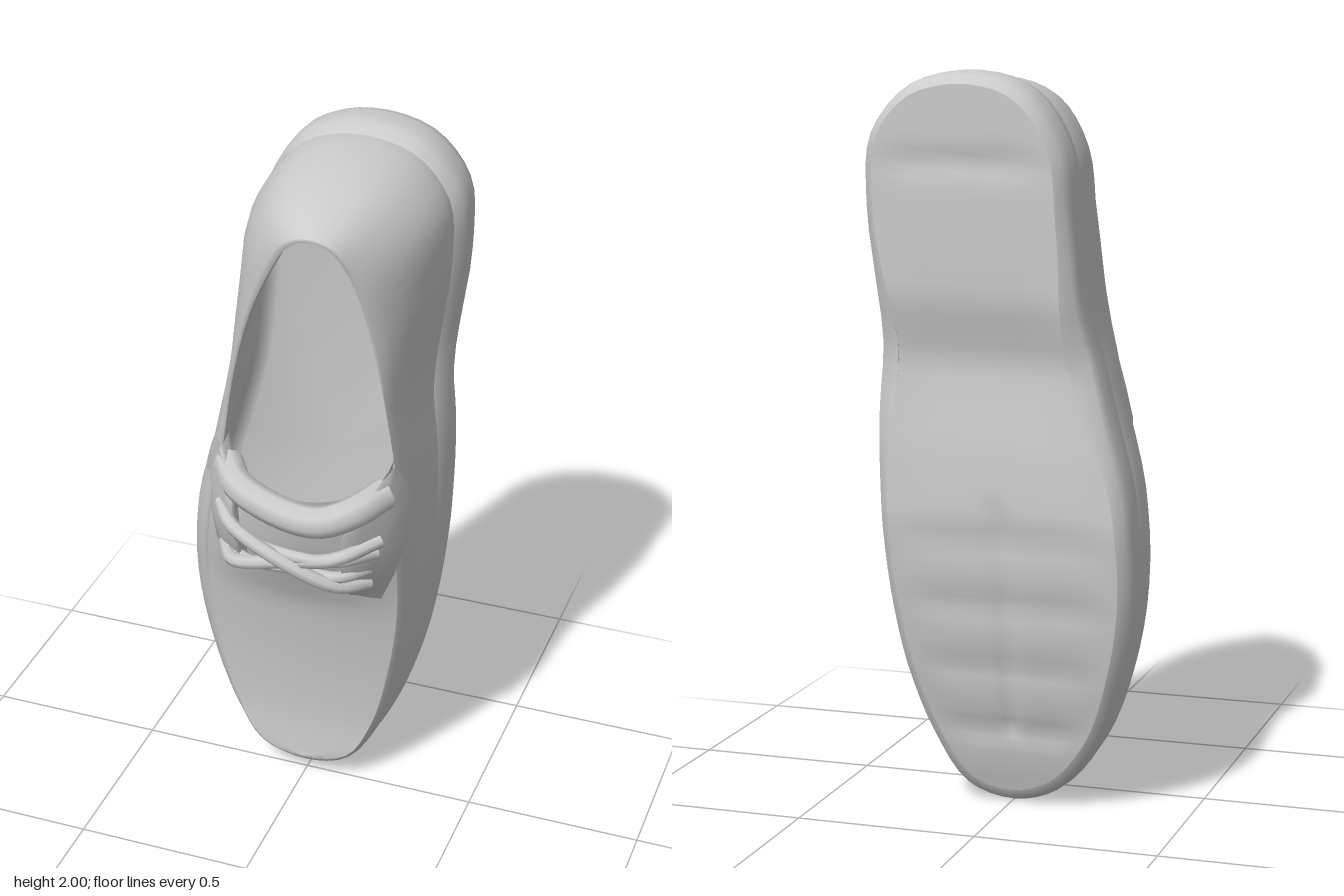
import * as THREE from 'three';

const V = (x, y, z) => new THREE.Vector3(x, y, z);
const grey = new THREE.MeshStandardMaterial({ color: 0xcccccc, side: THREE.DoubleSide });
const N = 88; // samples around the shoe

// Skin rows of points; wrap closes each row, cap fills the last row
function loft(name, rows, wrap = false, cap = false) {
  const n = rows[0].length, pos = rows.flat().flatMap(p => [p.x, p.y, p.z]), idx = [];
  for (let i = 0; i < rows.length - 1; i++)
    for (let j = 0; j < (wrap ? n : n - 1); j++) {
      const a = i * n + j, b = i * n + (j + 1) % n;
      idx.push(a, b, a + n, b, b + n, a + n);
    }
  if (cap) {
    const last = rows[rows.length - 1], c = V(0, 0, 0);
    last.forEach(p => c.addScaledVector(p, 1 / n));
    pos.push(c.x, c.y, c.z);
    const s = (rows.length - 1) * n;
    for (let j = 0; j < n; j++) idx.push(s + j, s + (j + 1) % n, rows.length * n);
  }
  const g = new THREE.BufferGeometry();
  g.setAttribute('position', new THREE.Float32BufferAttribute(pos, 3));
  g.setIndex(idx);
  g.computeVertexNormals();
  const m = new THREE.Mesh(g, grey);
  m.name = name;
  return m;
}

// Piecewise linear lookup
function lookup(table, t) {
  if (t <= table[0][0]) return table[0][1];
  for (let i = 1; i < table.length; i++) {
    const [a, va] = table[i - 1], [b, vb] = table[i];
    if (t <= b) return va + (vb - va) * (t - a) / (b - a);
  }
  return table[table.length - 1][1];
}

// Widest outline of the sole: toe, up the +x side, heel, down the -x side
const outline = new THREE.CatmullRomCurve3([
  [0, 0.005], [0.13, 0.045], [0.22, 0.19], [0.285, 0.39], [0.32, 0.6], [0.34, 0.85], [0.348, 1.1],
  [0.338, 1.35], [0.372, 1.65], [0.358, 1.84], [0.25, 1.965], [0.07, 2], [-0.08, 1.95], [-0.18, 1.8],
  [-0.205, 1.6], [-0.232, 1.36], [-0.29, 1.12], [-0.355, 0.88], [-0.37, 0.62], [-0.328, 0.38],
  [-0.25, 0.18], [-0.13, 0.045],
].map(p => V(p[0], p[1], 0)), true);

// Upper edge of the side wall: toe panel seam in front, foot opening behind
const rim = new THREE.CatmullRomCurve3([
  [0, 0.07, 0.035], [0.13, 0.1, 0.03], [0.2, 0.22, 0.02], [0.25, 0.42, 0.03], [0.285, 0.65, 0.06],
  [0.295, 0.88, 0.11], [0.305, 1.14, 0.15], [0.285, 1.35, 0.18], [0.25, 1.6, 0.22], [0.21, 1.77, 0.26],
  [0.165, 1.855, 0.29], [0.11, 1.875, 0.3], [0.055, 1.85, 0.29], [-0.005, 1.76, 0.26], [-0.08, 1.6, 0.22],
  [-0.145, 1.38, 0.18], [-0.19, 1.14, 0.15], [-0.25, 0.88, 0.11], [-0.275, 0.65, 0.06], [-0.255, 0.42, 0.03],
  [-0.205, 0.22, 0.02], [-0.13, 0.1, 0.03],
].map(p => V(...p)), true);

const soleZ = [[0, -0.19], [0.1, -0.215], [0.4, -0.28], [0.6, -0.31], [0.8, -0.33], [1, -0.32], [1.25, -0.296], [1.4, -0.33], [2, -0.33]];
const soleHeight = [[0, 0.08], [0.4, 0.14], [0.9, 0.17], [2, 0.18]];
const weltInset = [[0, 0.006], [0.7, 0.01], [1.3, 0.022]];
const waist = y => Math.exp(-(((y - 1.22) / 0.2) ** 2));
const ring = fn => Array.from({ length: N }, (_, i) => fn(i / N));

// Outline pulled inward by d and placed at height fraction h of the sole
function solePoint(u, d, h) {
  const p = outline.getPoint(u), t = outline.getTangent(u);
  const z = lookup(soleZ, p.y) + h * lookup(soleHeight, p.y);
  return V(p.x - t.y * d, p.y + t.x * d, z);
}
const bottomEdge = u => solePoint(u, 0.035 + 0.03 * waist(outline.getPoint(u).y), 0);
const welt = u => solePoint(u, lookup(weltInset, outline.getPoint(u).y), 1);

function sole() {
  const g = new THREE.Group();
  g.name = 'sole';
  g.add(loft('soleWall', [
    ring(bottomEdge),
    ring(u => solePoint(u, 0.012, 0.12)),
    ring(u => solePoint(u, 0.002, 0.32)),
    ring(u => solePoint(u, 0, 0.6)),
    ring(u => solePoint(u, 0.003, 0.82)),
    ring(welt),
  ], true));
  // Tread with shallow pressed grooves
  const near = (a, b, w) => Math.max(0, 1 - Math.abs(a - b) / w);
  const rows = [];
  for (let i = 0; i <= 72; i++) {
    const u = i / 144, a = bottomEdge(u), b = bottomEdge(1 - u), row = [];
    for (let j = 0; j <= 24; j++) {
      const v = j / 24, p = a.clone().lerp(b, v), inside = Math.min(1, 6 * v * (1 - v));
      let d = 0.008 * waist(p.y);
      for (const y of [0.22, 0.4, 0.58, 0.76, 1.76]) d += 0.01 * near(p.y, y, 0.05);
      if (p.y > 0.2 && p.y < 0.85) d += 0.01 * near(v, 0.5, 0.08);
      p.z += d * inside;
      row.push(p);
    }
    rows.push(row);
  }
  g.add(loft('tread', rows));
  return g;
}

// Side wall bulging from the welt to the rim; f moves inward, h moves upward
function wallPoint(u, f, h) {
  const a = welt(u), b = rim.getPoint(u), p = a.clone().lerp(b, f);
  p.z = a.z + (b.z - a.z) * h;
  return p;
}

function upper() {
  const g = new THREE.Group();
  g.name = 'upper';
  const profile = [[0, 0], [-0.05, 0.12], [0, 0.34], [0.13, 0.54], [0.32, 0.73], [0.6, 0.9], [0.88, 1.01], [1, 1]];
  g.add(loft('sideWall', profile.map(([f, h]) => ring(u => wallPoint(u, f, h))), true));
  // Lining folds over the rim and runs down to the insole
  const inner = (u, s, z) => {
    const p = outline.getPoint(u);
    return V(0.03 + (p.x - 0.03) * s, 1 + (p.y - 1) * s, z);
  };
  g.add(loft('lining', [
    ring(u => rim.getPoint(u)),
    ring(u => rim.getPoint(u).add(V(0, 0, -0.035))),
    ring(u => inner(u, 0.86, Math.min(-0.03, wallPoint(u, 0, 0.4).z))),
    ring(u => inner(u, 0.86, -0.12)),
    ring(u => inner(u, 0.78, -0.18)),
  ], true, true));
  // Crowned toe panel running up into the tongue
  const crown = [[0, 0], [0.2, 0.012], [0.42, 0.02], [0.65, 0.03], [0.88, 0.085], [1.14, 0.1]];
  const rows = [];
  for (let i = 0; i <= 30; i++) {
    const u = i / 30 * 6 / 22, a = rim.getPoint((1 - u) % 1), b = rim.getPoint(u), row = [];
    for (let j = 0; j <= 20; j++) {
      const v = j / 20, p = a.clone().lerp(b, v), c = 4 * v * (1 - v);
      p.z += lookup(crown, p.y) * c;
      if (p.y > 0.9) p.y -= (p.y - 0.9) * 0.22 * c;
      row.push(p);
    }
    rows.push(row);
  }
  g.add(loft('toePanel', rows));
  return g;
}

// Lace flap, each row: outer y, outer x, outer z, inner y, inner x, inner z, bulge
function flap(name, rows) {
  return loft(name, rows.map(([yo, xo, zo, yi, xi, zi, b]) => {
    const s = Math.sign(xo);
    const at = (t, out, up) => V(xo + (xi - xo) * t + s * out, yo + (yi - yo) * t, zo + (zi - zo) * t + up);
    const row = [at(0, -0.02, -0.02), at(0.2, b * 0.7, b * 0.5), at(0.5, b, b), at(0.8, b * 0.5, b * 0.6),
      at(0.97, 0, 0.005), at(1, 0, -0.02), at(0.93, 0, -0.05), at(0.4, -0.01, -0.05)];
    return s > 0 ? row : row.reverse();
  }));
}

function tube(name, pts, r) {
  const curve = new THREE.CatmullRomCurve3(pts.map(p => V(...p)));
  const m = new THREE.Mesh(new THREE.TubeGeometry(curve, 20, r, 8), grey);
  m.name = name;
  return m;
}

export function createModel() {
  const model = new THREE.Group();
  model.name = 'shoe';
  model.add(sole(), upper());
  model.add(flap('leftFlap', [
    [0.72, 0.27, 0.09, 0.74, 0.17, 0.13, 0.005], [0.82, 0.305, 0.07, 0.82, 0.175, 0.22, 0.02],
    [0.94, 0.33, 0.03, 0.93, 0.19, 0.275, 0.035], [1.06, 0.335, 0.02, 1.02, 0.2, 0.3, 0.03],
    [1.14, 0.325, 0.07, 1.08, 0.23, 0.285, 0.02], [1.2, 0.308, 0.14, 1.16, 0.28, 0.2, 0.003],
  ]));
  model.add(flap('rightFlap', [
    [0.77, -0.2, 0.1, 0.77, -0.1, 0.14, 0.005], [0.83, -0.25, 0.08, 0.83, -0.11, 0.21, 0.01],
    [0.94, -0.29, 0.03, 0.93, -0.12, 0.245, 0.015], [1.06, -0.29, 0.02, 1.02, -0.12, 0.26, 0.015],
    [1.14, -0.26, 0.06, 1.09, -0.12, 0.255, 0.01], [1.2, -0.21, 0.14, 1.17, -0.18, 0.19, 0.003],
  ]));
  // Rolled tongue edge and crossed laces, ends tucked under the flaps
  model.add(tube('tongueRoll', [[-0.17, 1.11, 0.16], [-0.11, 1.09, 0.235], [0.03, 1.06, 0.28], [0.14, 1.06, 0.29], [0.22, 1.09, 0.265], [0.28, 1.11, 0.17]], 0.044));
  const laces = new THREE.Group();
  laces.name = 'laces';
  laces.add(
    tube('lace', [[-0.19, 0.84, 0.14], [-0.13, 0.845, 0.23], [0.04, 0.9, 0.265], [0.19, 0.96, 0.3], [0.28, 0.98, 0.2]], 0.02),
    tube('lace', [[-0.18, 1.0, 0.19], [-0.12, 0.98, 0.265], [0.05, 0.91, 0.295], [0.18, 0.84, 0.25], [0.24, 0.82, 0.17]], 0.02),
    tube('lace', [[-0.18, 0.96, 0.18], [-0.1, 0.95, 0.26], [0.06, 0.93, 0.28], [0.19, 0.95, 0.295], [0.27, 0.94, 0.2]], 0.017),
    tube('lace', [[-0.17, 0.85, 0.15], [-0.1, 0.85, 0.22], [0.05, 0.86, 0.235], [0.18, 0.87, 0.25], [0.25, 0.87, 0.17]], 0.017),
  );
  model.add(laces);
  return model;
}
